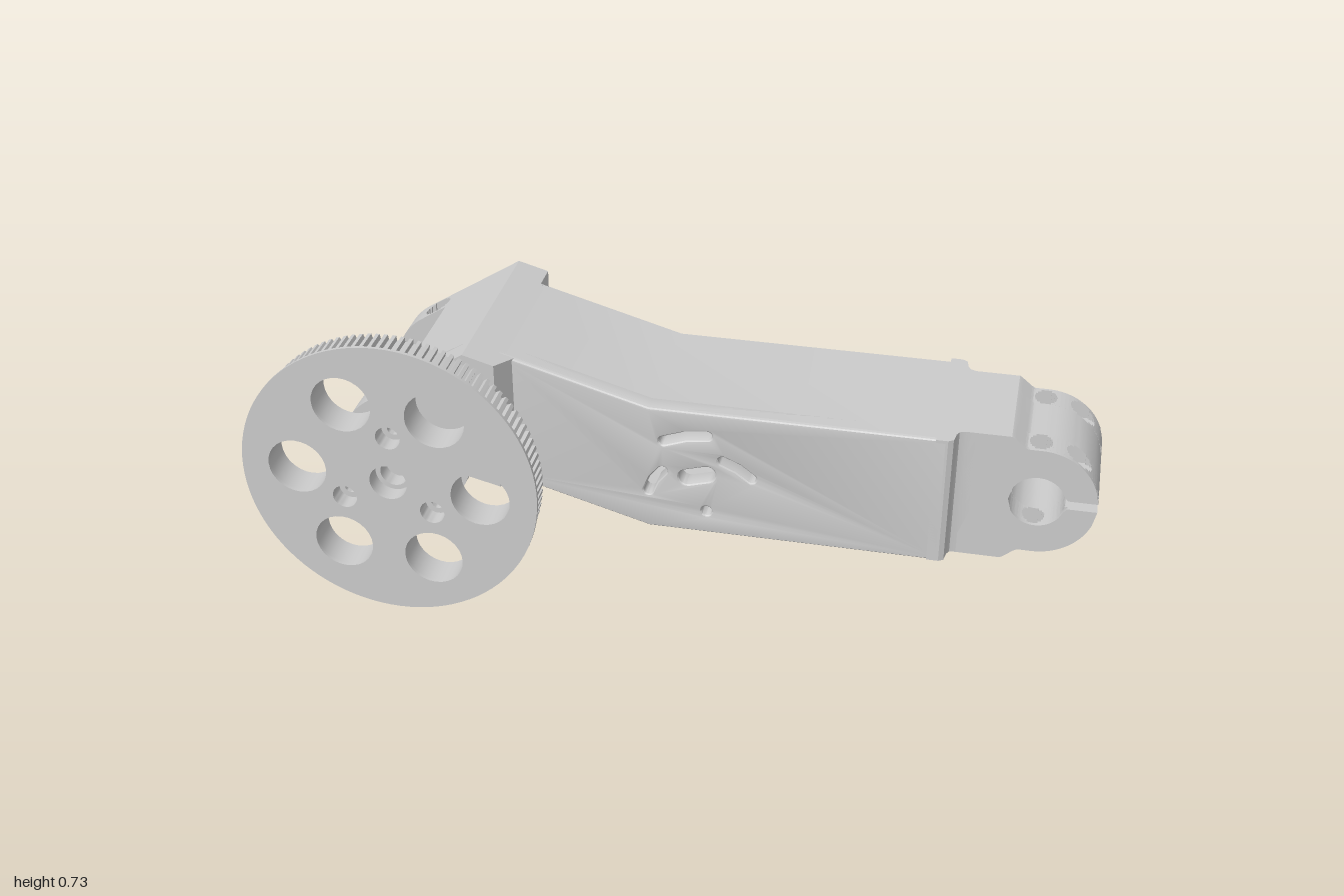
import * as THREE from 'three';
import { mergeGeometries, toCreasedNormals } from 'three/addons/utils/BufferGeometryUtils.js';

const material = new THREE.MeshStandardMaterial({ color: 0xcccccc });
const HUB = [-0.637, 0.365], PIN = [0.86, 0.366], SLOPE = 0.28;

const polygon = (pts) => new THREE.Shape(pts.map(([x, y]) => new THREE.Vector2(x, y)));
const polar = ([cx, cy], r, deg) => {
  const a = THREE.MathUtils.degToRad(deg);
  return [cx + r * Math.cos(a), cy + r * Math.sin(a)];
};
const arc = (c, r, a0, a1, n = 24) =>
  Array.from({ length: n + 1 }, (_, i) => polar(c, r, a0 + ((a1 - a0) * i) / n));
const hole = (c, r) => polygon(arc(c, r, 360, 0, 28).slice(0, -1));

// Rounded slot along a polyline-like arc from a to b, bulging sideways by bow
function slot(a, b, width, bow = 0) {
  const dx = b[0] - a[0], dy = b[1] - a[1], L = Math.hypot(dx, dy);
  const nx = -dy / L, ny = dx / L, dir = THREE.MathUtils.radToDeg(Math.atan2(dy, dx));
  const h = width / 2, mid = (s) => [(a[0] + b[0]) / 2 + nx * (bow + s * h), (a[1] + b[1]) / 2 + ny * (bow + s * h)];
  return polygon([...arc(b, h, dir - 90, dir + 90, 8), mid(1), ...arc(a, h, dir + 90, dir + 270, 8), mid(-1)]);
}

function slab(shape, z0, z1, holes = [], bevel = 0) {
  shape.holes.push(...holes);
  const g = new THREE.ExtrudeGeometry(shape, {
    depth: z1 - z0 - 2 * bevel, bevelEnabled: bevel > 0, bevelSize: bevel,
    bevelThickness: bevel, bevelOffset: -bevel, bevelSegments: 3,
  });
  return g.translate(0, 0, z0 + bevel);
}

function add(parent, name, geos) {
  const mesh = new THREE.Mesh(toCreasedNormals(mergeGeometries([].concat(geos)), 0.5), material);
  mesh.name = name;
  parent.add(mesh);
}

// Stack of slabs along z; build(w) gives the outlines where a round bolt hole is 2w wide
function sliced(z0, z1, bolts, r, build, holes = () => []) {
  const out = [], N = 8;
  const put = (a, b, w) => build(w).forEach((s) => out.push(slab(s, a, b, holes())));
  let z = z0;
  for (const c of bolts) {
    put(z, c - r, 0);
    for (let i = 0; i < N; i++) {
      const t0 = -1 + (2 * i) / N, t = t0 + 1 / N;
      put(c + r * t0, c + r * (t0 + 2 / N), r * Math.sqrt(1 - t * t));
    }
    z = c + r;
  }
  put(z, z1, 0);
  return out;
}

// Bent body outline, shrunk by d
const bodyTop = (x) => 0.535 + Math.max(0, -0.05 - x) * SLOPE;
const bodyOutline = (x0, x1, d = 0) => [
  [x0 + d, bodyTop(x0 + d) - 0.335 + d], [-0.05, 0.2 + d], [x1 - d, 0.2 + d],
  [x1 - d, 0.535 - d], [-0.05, 0.535 - d], [x0 + d, bodyTop(x0 + d) - d]];

// Fork arm outline with split clamp and optional bolt notch of half width w
function armOutline(w) {
  const peak = [-0.48, bodyTop(-0.48)], tan = polar(HUB, 0.16, 122);
  const edge = (x) => tan[1] + ((peak[1] - tan[1]) * (x - tan[0])) / (peak[0] - tan[0]);
  const bx = -0.69, floor = 0.445;
  const notch = w > 0 ? [[bx + w, edge(bx + w)], [bx + w, floor], [bx - w, floor], [bx - w, edge(bx - w)]] : [];
  return polygon([
    [-0.405, bodyTop(-0.405) - 0.335], [-0.405, bodyTop(-0.405)], peak, ...notch,
    ...arc(HUB, 0.16, 122, 177), ...arc(HUB, 0.036, 167, -167), ...arc(HUB, 0.16, 183, 343, 40)]);
}

// One column of the upper clamp half (sign -1 gives the lower half)
function clampColumn(x0, x1, sign, cap = 1) {
  const under = (r, x) => Math.sqrt(Math.max(0, r * r - (x - PIN[0]) ** 2));
  const low = (x) => Math.max(x > PIN[0] ? 0.011 : 0, under(0.066, x));
  const top = (x) => Math.max(low(x) + 0.0005, Math.min(cap,
    x < 0.79 ? 0.169 : x < 0.825 ? 0.169 - (x - 0.79) * 0.83 : x < PIN[0] ? 0.14 : under(0.14, x)));
  const xs = Array.from({ length: 25 }, (_, i) => x0 + ((x1 - x0) * i) / 24);
  return polygon([
    ...xs.map((x) => [x, PIN[1] + sign * low(x)]),
    ...xs.reverse().map((x) => [x, PIN[1] + sign * top(x)])]);
}

export function createModel() {
  const model = new THREE.Group();
  model.name = 'pulleyArm';

  // Toothed wheel with flange, lightening holes and counterbored screw holes
  const wheel = new THREE.Group();
  wheel.name = 'toothedWheel';
  model.add(wheel);
  const screwAngles = [86, 206, 326];
  const wheelHoles = (rScrew, rBore) => [
    ...[-4, 56, 116, 176, 236, 296].map((a) => hole(polar(HUB, 0.225, a), 0.072)),
    ...screwAngles.map((a) => hole(polar(HUB, 0.125, a), rScrew)), hole(HUB, rBore)];
  const teeth = [];
  for (let i = 0; i < 110; i++) {
    const a = (i * 360) / 110;
    teeth.push(polar(HUB, 0.342, a), polar(HUB, 0.342, a + 1.2), polar(HUB, 0.354, a + 1.5), polar(HUB, 0.354, a + 2.9));
  }
  add(wheel, 'toothedRim', [
    slab(polygon(teeth), 0.225, 0.265, wheelHoles(0.016, 0.034)),
    slab(polygon(teeth), 0.265, 0.3, wheelHoles(0.03, 0.046))]);
  add(wheel, 'flange', slab(polygon(arc(HUB, 0.363, 0, 360, 96).slice(0, -1)), 0.3, 0.308, wheelHoles(0.03, 0.046)));

  // Hollow body: frame and slotted front wall
  const body = new THREE.Group();
  body.name = 'body';
  model.add(body);
  add(body, 'frame', slab(polygon(bodyOutline(-0.41, 0.65)), -0.235, 0.111, [polygon(bodyOutline(-0.41, 0.65, 0.035).reverse())]));
  add(body, 'frontWall', slab(polygon(bodyOutline(-0.41, 0.65)), 0.07, 0.122, [
    slot([-0.015, 0.447], [0.09, 0.473], 0.022, 0.006),
    slot([0.128, 0.408], [0.197, 0.368], 0.022, 0.005),
    slot([-0.052, 0.303], [-0.018, 0.362], 0.022, 0.005),
    slot([0.042, 0.352], [0.09, 0.366], 0.04),
    hole([0.09, 0.262], 0.012)], 0.008));

  // Back cover with two windows and screw holes
  const screws = [[0.595, 0.495], [0.595, 0.24], [0.26, 0.495], [0.26, 0.24],
    [-0.19, 0.53], [-0.19, 0.285], [-0.36, 0.575], [-0.36, 0.335]];
  const window1 = [[0.48, 0.28], [0.48, 0.43], [0.51, 0.46], [0.61, 0.46], [0.61, 0.28]];
  const window2 = [[-0.395, 0.4], [-0.395, 0.53], [-0.3, 0.53], [-0.3, 0.4]];
  add(body, 'backCover', slab(polygon(bodyOutline(-0.415, 0.63, 0.01)), -0.255, -0.234,
    [...screws.map((s) => hole(s, 0.013)), polygon(window1), polygon(window2)]));

  // Shoulder stepping down to the clamp, drawn in plan as x, -z
  const shoulder = slab(polygon([
    [0.62, -0.122], [0.648, -0.122], [0.66, -0.115], [0.664, -0.09], [0.67, -0.078], [0.685, -0.073], [0.72, -0.073],
    [0.72, 0.206], [0.685, 0.206], [0.67, 0.212], [0.664, 0.225], [0.66, 0.247], [0.648, 0.255], [0.62, 0.255]]), 0.2, 0.535);
  add(body, 'shoulder', shoulder.rotateX(-Math.PI / 2));

  // Split end clamp with bolt holes
  add(model, 'endClamp', sliced(-0.206, 0.073, [-0.168, 0.033], 0.031, (w) => {
    const t = w * 0.85;
    return [1, -1].flatMap((s) => (w > 0 ? [
      clampColumn(0.66, 0.794, s), clampColumn(0.794, 0.855 - t, s),
      clampColumn(0.855 + t, 0.945 - w, s), clampColumn(0.945 - w, 0.945 + w, s, 0.075),
      clampColumn(0.945 + w, 0.9995, s),
    ] : [clampColumn(0.66, 0.794, s), clampColumn(0.794, 0.9995, s)]));
  }));

  // Fork: two arms, a flare to the body and the bridge between the arms
  const fork = new THREE.Group();
  fork.name = 'fork';
  model.add(fork);
  add(fork, 'frontArm', sliced(0.1, 0.175, [0.137], 0.031, (w) => [armOutline(w)],
    () => screwAngles.map((a) => hole(polar(HUB, 0.125, a), 0.016))));
  add(fork, 'backArm', sliced(-0.308, -0.236, [-0.273], 0.031, (w) => [armOutline(w)]));
  const flareEnd = [-0.42, -0.365].map((x) => [x, bodyTop(x)]);
  const flare = slab(polygon([...flareEnd, ...flareEnd.map(([x, y]) => [x, y - 0.335]).reverse()]), 0.1, 0.175);
  const p = flare.attributes.position;
  for (let i = 0; i < p.count; i++) {
    if (p.getX(i) > -0.4 && p.getZ(i) > 0.15) p.setXY(i, p.getX(i) - 0.04, p.getY(i) + 0.04 * SLOPE);
  }
  flare.computeVertexNormals();
  add(fork, 'flare', flare);
  add(fork, 'bridge', slab(polygon([
    [-0.4, bodyTop(-0.4) - 0.335], [-0.4, bodyTop(-0.4)], [-0.48, bodyTop(-0.48)], [-0.655, 0.547],
    ...arc(HUB, 0.17, 96, -16, 20)]), -0.24, 0.105));

  return model;
}
